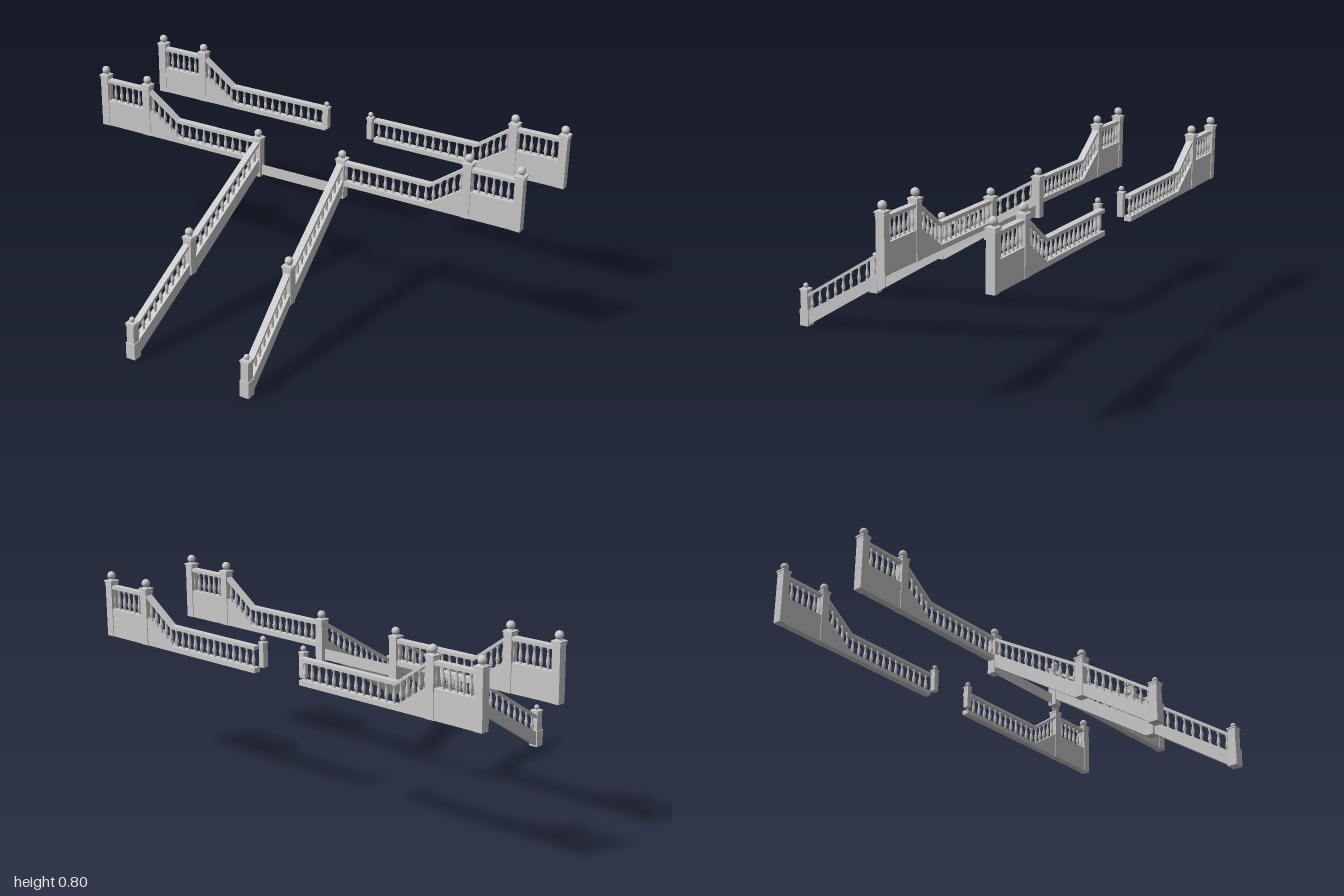
import * as THREE from 'three';

const material = new THREE.MeshStandardMaterial({ color: 0xcccccc, side: THREE.DoubleSide });

function part(parent, name, geometry, x = 0, y = 0, z = 0) {
  const mesh = new THREE.Mesh(geometry, material);
  mesh.name = name;
  mesh.position.set(x, y, z);
  parent.add(mesh);
  return mesh;
}

// Upright slab: low and high edges given at both ends, centred on its thickness
function slab(length, lowA, highA, lowB, highB, depth) {
  const shape = new THREE.Shape([
    new THREE.Vector2(0, lowA), new THREE.Vector2(length, lowB),
    new THREE.Vector2(length, highB), new THREE.Vector2(0, highA),
  ]);
  return new THREE.ExtrudeGeometry(shape, { depth, bevelEnabled: false }).translate(0, 0, -depth / 2);
}

// Turned baluster of unit height
const balusterProfile = [
  [0.0065, 0], [0.0065, 0.1], [0.004, 0.14], [0.008, 0.3], [0.0075, 0.4],
  [0.004, 0.68], [0.004, 0.8], [0.0065, 0.86], [0.0065, 1],
].map(([r, y]) => new THREE.Vector2(r, y));
const balusterGeometry = new THREE.LatheGeometry(balusterProfile, 10);

// One straight balustrade run; each end is { x, z, low, top, rail }
function balustrade(name, a, b, count, side) {
  const run = new THREE.Group();
  run.name = name;
  const dx = (b.x - a.x) * side, dz = b.z - a.z;
  const length = Math.hypot(dx, dz);
  run.position.set(a.x * side, 0, a.z);
  run.rotation.y = -Math.atan2(dz, dx);
  part(run, 'baseWall', slab(length, a.low, a.top, b.low, b.top, 0.03));
  part(run, 'handrail', slab(length, a.rail - 0.014, a.rail, b.rail - 0.014, b.rail, 0.028));
  for (let i = 0; i < count; i++) {
    const t = (i + 0.5) / count;
    const foot = THREE.MathUtils.lerp(a.top, b.top, t) - 0.004;
    const head = THREE.MathUtils.lerp(a.rail, b.rail, t) - 0.009;
    part(run, 'baluster', balusterGeometry, t * length, foot, 0).scale.y = head - foot;
  }
  return run;
}

// Square post with a stepped cap, neck and ball; y2 is the top of the shaft
function post(name, x, z, y1, y2, width, ballRadius, plinthTop = 0) {
  const group = new THREE.Group();
  group.name = name;
  group.position.set(x, 0, z);
  const block = (label, w, low, high) =>
    part(group, label, new THREE.BoxGeometry(w, high - low, w), 0, (low + high) / 2, 0);
  if (plinthTop) block('plinth', width * 1.22, y1, plinthTop);
  block('shaft', width, plinthTop || y1, y2);
  const step = ballRadius * 0.3;
  block('capMoulding', width * 1.08, y2 - step * 2, y2 - step);
  block('cap', width * 1.2, y2, y2 + step * 1.5);
  part(group, 'neck', new THREE.CylinderGeometry(ballRadius * 0.5, ballRadius * 0.85, step * 2, 16),
    0, y2 + step * 2, 0);
  part(group, 'ball', new THREE.SphereGeometry(ballRadius, 20, 14), 0, y2 + step * 2 + ballRadius, 0);
  return group;
}

// Terrace wing: low run, rising run, high run and its two tall posts
function wing(name, side, z, innerX, lowCount) {
  const group = new THREE.Group();
  group.name = name;
  const point = (x, top, rail) => ({ x, z, low: 0.53, top, rail });
  const inner = point(innerX, 0.55, 0.636);
  const bend = point(0.6, 0.55, 0.636);
  const rise = point(0.745, 0.647, 0.74);
  const highStart = point(0.76, 0.647, 0.745);
  const highEnd = point(0.978, 0.647, 0.745);
  group.add(
    balustrade('lowBalustrade', inner, bend, lowCount, side),
    balustrade('risingBalustrade', bend, rise, 5, side),
    balustrade('highBalustrade', highStart, highEnd, 7, side),
    post('innerTallPost', 0.76 * side, z, 0.53, 0.757, 0.036, 0.017),
    post('outerTallPost', 0.978 * side, z, 0.53, 0.757, 0.036, 0.017),
  );
  return group;
}

// Stair balustrade: two sloping runs with a post at each end and between
function stair(name, side) {
  const group = new THREE.Group();
  group.name = name;
  const foot = { x: 0.267, z: 0.63, low: 0.002, top: 0.064, rail: 0.14 };
  const midLower = { x: 0.236, z: 0.295, low: 0.218, top: 0.27, rail: 0.358 };
  const midUpper = { x: 0.233, z: 0.258, low: 0.218, top: 0.284, rail: 0.369 };
  const head = { x: 0.2, z: -0.19, low: 0.5, top: 0.558, rail: 0.632 };
  group.add(
    balustrade('lowerStairBalustrade', foot, midLower, 9, side),
    balustrade('upperStairBalustrade', midUpper, head, 12, side),
    post('footPost', 0.266 * side, 0.642, 0, 0.156, 0.034, 0.011, 0.072),
    post('middlePost', 0.234 * side, 0.276, 0.218, 0.38, 0.037, 0.017),
    post('headPost', 0.2 * side, -0.203, 0.473, 0.64, 0.036, 0.016),
  );
  return group;
}

export function createModel() {
  const model = new THREE.Group();
  model.name = 'terraceBalustrades';
  for (const side of [1, -1]) {
    const hand = side > 0 ? 'left' : 'right';
    model.add(
      wing(hand + 'FrontWing', side, -0.203, 0.2, 11),
      wing(hand + 'BackWing', side, -0.643, 0.12, 13),
      stair(hand + 'Stair', side),
      post(hand + 'BackEndPost', 0.108 * side, -0.62, 0.55, 0.645, 0.024, 0.011),
    );
  }
  // Thin riser joining the two stair heads
  part(model, 'landingEdge', new THREE.PlaneGeometry(0.38, 0.047), 0, 0.501, -0.203);
  return model;
}
